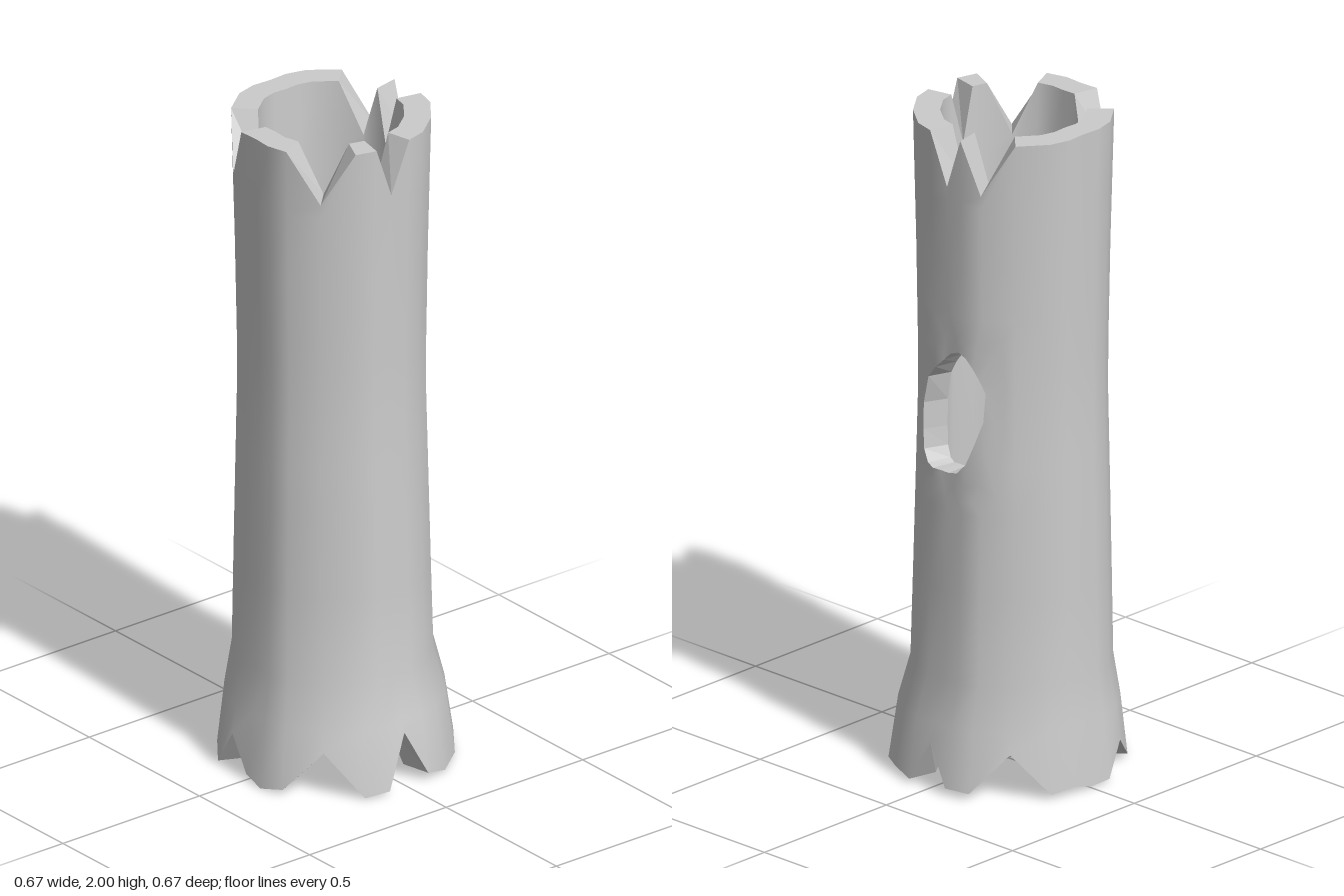
import * as THREE from 'three';
import { mergeVertices } from 'three/addons/utils/BufferGeometryUtils.js';

// Columns around the trunk: angle from the front (+z) towards +x, with a slight radius ripple
const QUARTER = [[0, 0.975], [12, 1.01], [25, 1.025], [45, 1.01], [65, 1.025], [78, 1.01]];
const COLUMNS = [];
for (let q = 0; q < 4; q++) for (const [a, f] of QUARTER) COLUMNS.push([a + q * 90, f]);
COLUMNS.push([360, QUARTER[0][1]]);
const N = 24;

// Height, radius and z shift of the trunk
const PROFILE = [
  [0, 0.338, 0], [0.14, 0.326, 0], [0.33, 0.286, -0.015], [0.7, 0.278, -0.018],
  [1.2, 0.267, -0.02], [1.6, 0.274, -0.021], [2, 0.284, -0.022],
];
const WALL = 0.73; // inner radius as a share of the outer

// Notch tips by column
const TOP = { 0: 1.84, 6: 1.84, 8: 1.84, 16: 1.84, 21: 1.84 };
const BASE = { 0: 0.165, 6: 0.14, 9: 0.14, 14: 0.1, 17: 0.12, 21: 0.14 };
const ROWS = [0.2, 0.33, 0.6, 0.85, 1, 1.15, 1.3, 1.45, 1.6, 1.8];
const topY = (i) => TOP[i % N] ?? 2;
const baseY = (i) => BASE[i % N] ?? 0.013 + 0.013 * Math.sin((i % N) * 1.9);

function columnPoint(i, y, k) {
  let s = 0;
  while (s < PROFILE.length - 2 && y > PROFILE[s + 1][0]) s++;
  const [y0, r0, z0] = PROFILE[s], [y1, r1, z1] = PROFILE[s + 1];
  const t = (y - y0) / (y1 - y0);
  const [deg, f] = COLUMNS[i];
  const r = (r0 + (r1 - r0) * t) * f * k, a = THREE.MathUtils.degToRad(deg);
  return new THREE.Vector3(r * Math.sin(a), y, r * Math.cos(a) + z0 + (z1 - z0) * t);
}

// Point on the wall at any angle in degrees and height
function wallPoint([deg, y], k) {
  let i = 0;
  while (i < N - 1 && deg > COLUMNS[i + 1][0]) i++;
  const t = (deg - COLUMNS[i][0]) / (COLUMNS[i + 1][0] - COLUMNS[i][0]);
  return columnPoint(i, y, k).lerp(columnPoint(i + 1, y, k), t);
}

// Knothole: the border of the patch cut from the grid, and the matching rim of the hole
const C0 = 3, C1 = 9, R0 = 3, R1 = 7;
const border = [];
for (let i = C0; i < C1; i++) border.push([COLUMNS[i][0], ROWS[R0]]);
for (let j = R0; j < R1; j++) border.push([COLUMNS[C1][0], ROWS[j]]);
for (let i = C1; i > C0; i--) border.push([COLUMNS[i][0], ROWS[R1]]);
for (let j = R1; j > R0; j--) border.push([COLUMNS[C0][0], ROWS[j]]);
const hole = border.map(([a, y]) => {
  const t = Math.atan2((y - 1.15) / 0.3, (a - 90) / 45);
  const w = 1 + 0.05 * Math.sin(5 * t);
  return [91 + 25 * w * Math.cos(t) + 7 * Math.sin(t), 1.14 + 0.19 * w * Math.sin(t)];
});

function meshFromQuads(name, quads, smooth) {
  const pos = [];
  for (const [a, b, c, d] of quads) for (const p of [a, b, c, a, c, d]) pos.push(p.x, p.y, p.z);
  let geo = new THREE.BufferGeometry();
  geo.setAttribute('position', new THREE.Float32BufferAttribute(pos, 3));
  if (smooth) geo = mergeVertices(geo, 1e-4);
  geo.computeVertexNormals();
  const mesh = new THREE.Mesh(geo, new THREE.MeshStandardMaterial({ color: 0xcccccc, flatShading: !smooth }));
  mesh.name = name;
  return mesh;
}

// One skin of the trunk, with the knothole left open
function skin(name, k, inward) {
  const quads = [];
  for (let i = 0; i < N; i++) {
    const left = [baseY(i), ...ROWS, topY(i)], right = [baseY(i + 1), ...ROWS, topY(i + 1)];
    for (let j = 0; j < left.length - 1; j++) {
      if (i >= C0 && i < C1 && j > R0 && j <= R1) continue;
      quads.push([columnPoint(i, left[j], k), columnPoint(i + 1, right[j], k),
        columnPoint(i + 1, right[j + 1], k), columnPoint(i, left[j + 1], k)]);
    }
  }
  const mix = (n, t) => {
    const p = border[n % border.length], h = hole[n % border.length];
    return wallPoint([p[0] + (h[0] - p[0]) * t, p[1] + (h[1] - p[1]) * t], k);
  };
  for (let n = 0; n < border.length; n++) for (let s = 0; s < 3; s++) {
    quads.push([mix(n, s / 3), mix(n + 1, s / 3), mix(n + 1, (s + 1) / 3), mix(n, (s + 1) / 3)]);
  }
  return meshFromQuads(name, inward ? quads.map((q) => q.reverse()) : quads, true);
}

// Jagged end joining the two skins
function rim(name, height, down) {
  const quads = [];
  for (let i = 0; i < N; i++) {
    const q = [columnPoint(i, height(i), 1), columnPoint(i + 1, height(i + 1), 1),
      columnPoint(i + 1, height(i + 1), WALL), columnPoint(i, height(i), WALL)];
    quads.push(down ? q.reverse() : q);
  }
  return meshFromQuads(name, quads, false);
}

export function createModel() {
  const group = new THREE.Group();
  group.name = 'hollowLog';
  const tunnel = hole.map((h, n) => {
    const next = hole[(n + 1) % hole.length];
    return [wallPoint(h, 1), wallPoint(next, 1), wallPoint(next, WALL), wallPoint(h, WALL)];
  });
  group.add(
    skin('outerBark', 1, false),
    skin('innerWall', WALL, true),
    rim('topRim', topY, false),
    rim('baseRim', baseY, true),
    meshFromQuads('knotholeEdge', tunnel, false),
  );
  return group;
}
